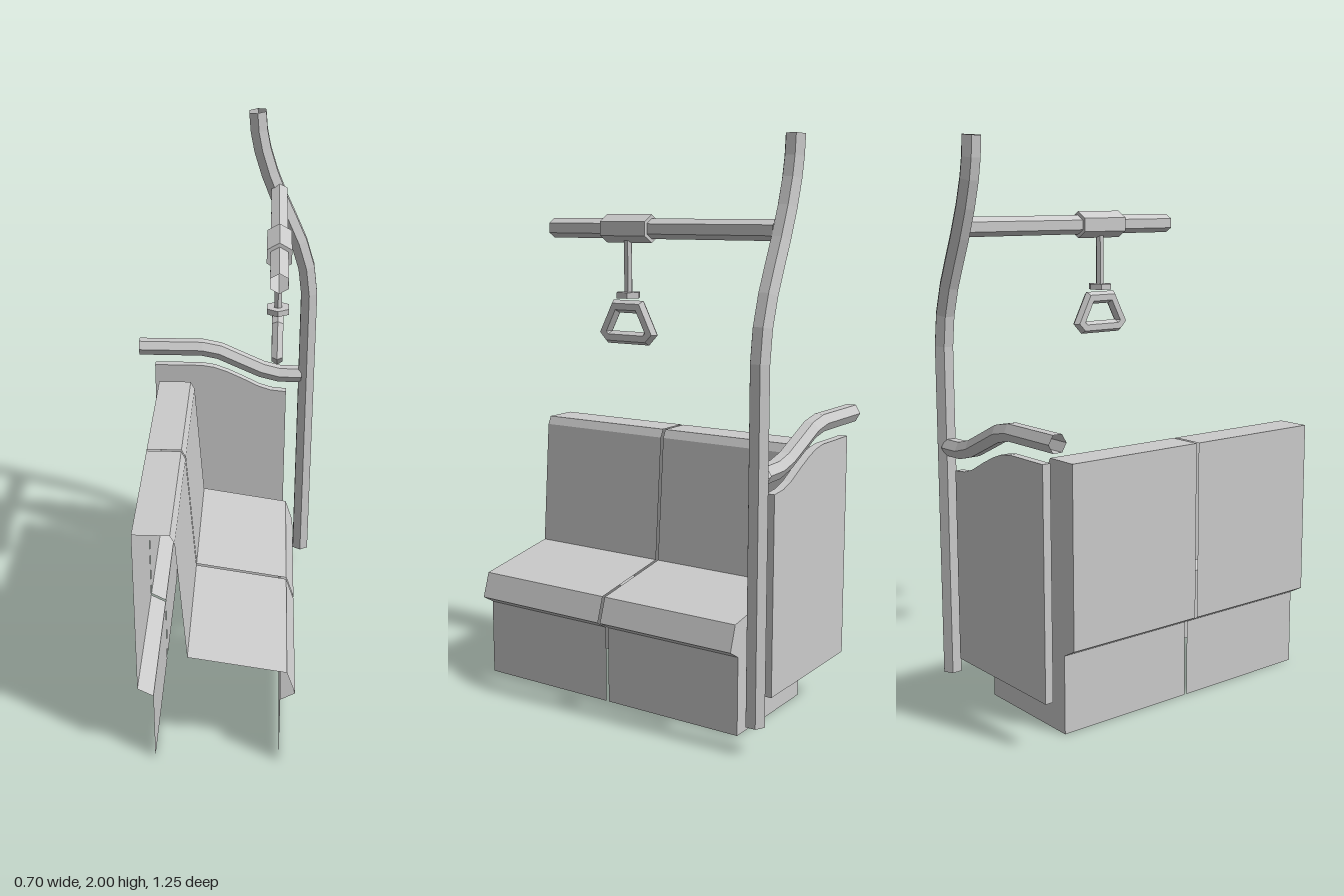
import * as THREE from 'three';

const material = new THREE.MeshStandardMaterial({ color: 0xcccccc, flatShading: true, side: THREE.DoubleSide });

function add(parent, name, geometry) {
  const mesh = new THREE.Mesh(geometry, material);
  mesh.name = name;
  parent.add(mesh);
  return mesh;
}

function meshGeometry(positions, indices) {
  const g = new THREE.BufferGeometry();
  g.setAttribute('position', new THREE.Float32BufferAttribute(positions, 3));
  g.setIndex(indices);
  const flat = g.toNonIndexed();
  flat.computeVertexNormals();
  return flat;
}

// Six-sided tube along a planar path with mitred corners; phase turns the section
function hexTube(path, normal, radius, { phase = 0, closed = false } = {}) {
  const pts = path.map((p) => new THREE.Vector3(...p));
  const n = new THREE.Vector3(...normal);
  const count = pts.length;
  const sides = 6;
  const positions = [];
  const indices = [];
  const direction = (i, j) => pts[(j + count) % count].clone().sub(pts[(i + count) % count]).normalize();
  pts.forEach((p, i) => {
    const before = closed || i > 0 ? direction(i - 1, i) : direction(i, i + 1);
    const after = closed || i < count - 1 ? direction(i, i + 1) : before;
    const tangent = before.clone().add(after).normalize();
    const mitre = n.clone().cross(tangent).divideScalar(tangent.dot(before));
    for (let k = 0; k < sides; k++) {
      const a = phase + (k / sides) * Math.PI * 2;
      const v = p.clone()
        .addScaledVector(mitre, radius * Math.cos(a))
        .addScaledVector(n, radius * Math.sin(a));
      positions.push(v.x, v.y, v.z);
    }
  });
  for (let i = 0; i < (closed ? count : count - 1); i++) {
    const next = (i + 1) % count;
    for (let k = 0; k < sides; k++) {
      const l = (k + 1) % sides;
      const a = i * sides + k, b = i * sides + l, c = next * sides + l, d = next * sides + k;
      indices.push(a, b, c, a, c, d);
    }
  }
  return meshGeometry(positions, indices);
}

// Open sheet: an xy profile stretched between two z positions
function sheet(profile, z0, z1) {
  const positions = profile.flatMap(([x, y]) => [x, y, z0, x, y, z1]);
  const indices = [];
  for (let i = 0; i < profile.length - 1; i++) {
    const a = i * 2;
    indices.push(a, a + 1, a + 3, a, a + 3, a + 2);
  }
  return meshGeometry(positions, indices);
}

const shapeOf = (points) => new THREE.Shape(points.map((p) => new THREE.Vector2(...p)));

export function createModel() {
  const model = new THREE.Group();
  model.name = 'transitSeatBay';

  // Two seat shells, open underneath
  const seatProfile = [
    [0.23, 0], [0.23, 0.28], [0.28, 0.31], [0.25, 0.4], [-0.09, 0.455],
    [-0.125, 0.92], [-0.14, 0.95], [-0.265, 0.95], [-0.265, 0.31], [-0.21, 0.28], [-0.21, 0],
  ];
  const seats = new THREE.Group();
  seats.name = 'seats';
  model.add(seats);
  [['rearSeat', -0.47, 0.07], ['frontSeat', 0.08, 0.62]].forEach(([name, z0, z1]) => {
    add(seats, name, sheet(seatProfile, z0, z1));
  });

  // End wall of the seat row, facing the partition
  const endGeometry = new THREE.ShapeGeometry(shapeOf(seatProfile));
  endGeometry.rotateY(Math.PI).scale(-1, 1, 1);
  const end = add(seats, 'seatEndWall', endGeometry);
  end.position.z = -0.47;

  // Partition panel with a curved top edge
  const panelShape = shapeOf([
    [-0.29, 0.17], [0.24, 0.17], [0.24, 0.86], [0.18, 0.866], [0.13, 0.882],
    [0.06, 0.918], [0, 0.946], [-0.05, 0.964], [-0.1, 0.972], [-0.29, 0.972],
  ]);
  const panel = add(model, 'partitionPanel',
    new THREE.ExtrudeGeometry(panelShape, { depth: 0.03, bevelEnabled: false }));
  panel.position.z = -0.605;

  // Floor-to-ceiling pole and the armrest rail joining it
  const poleZ = -0.59;
  const inPolePlane = ([x, y]) => [x, y, poleZ];
  const pole = [
    [0.32, 0.1], [0.32, 1.29], [0.306, 1.4], [0.275, 1.5], [0.235, 1.59],
    [0.198, 1.67], [0.158, 1.77], [0.13, 1.86], [0.116, 1.93], [0.11, 2],
  ];
  add(model, 'pole', hexTube(pole.map(inPolePlane), [0, 0, 1], 0.036, { phase: Math.PI / 2 }));
  const rail = [
    [-0.352, 1.046], [-0.1, 1.046], [-0.03, 1.032], [0.05, 0.995],
    [0.14, 0.954], [0.21, 0.936], [0.3, 0.934],
  ];
  add(model, 'armrestRail', hexTube(rail.map(inPolePlane), [0, 0, 1], 0.034, { phase: Math.PI / 2 }));

  // Overhead bar running forward from the pole
  const barX = 0.195;
  add(model, 'overheadBar', hexTube([[barX, 1.7, -0.575], [barX, 1.7, 0.318]], [1, 0, 0], 0.034));

  // Hanging strap: sleeve, stem, collar and ring
  const strap = new THREE.Group();
  strap.name = 'hangingStrap';
  strap.position.x = barX;
  model.add(strap);
  const sleeve = add(strap, 'strapSleeve', new THREE.CylinderGeometry(0.048, 0.048, 0.185, 6));
  sleeve.rotation.x = Math.PI / 2;
  sleeve.position.set(0, 1.7, -0.005);
  const stem = add(strap, 'strapStem', new THREE.CylinderGeometry(0.015, 0.015, 0.18, 6));
  stem.position.y = 1.57;
  const collar = add(strap, 'strapCollar', new THREE.CylinderGeometry(0.044, 0.044, 0.02, 6));
  collar.position.y = 1.475;
  const half = [[0.049, 1.435], [0.094, 1.346], [0.077, 1.328]];
  const ring = [
    ...half.map(([z, y]) => [0, y, z]),
    ...half.map(([z, y]) => [0, y, -z]).reverse(),
  ];
  add(strap, 'strapRing', hexTube(ring, [1, 0, 0], 0.022, { closed: true }));

  return model;
}
